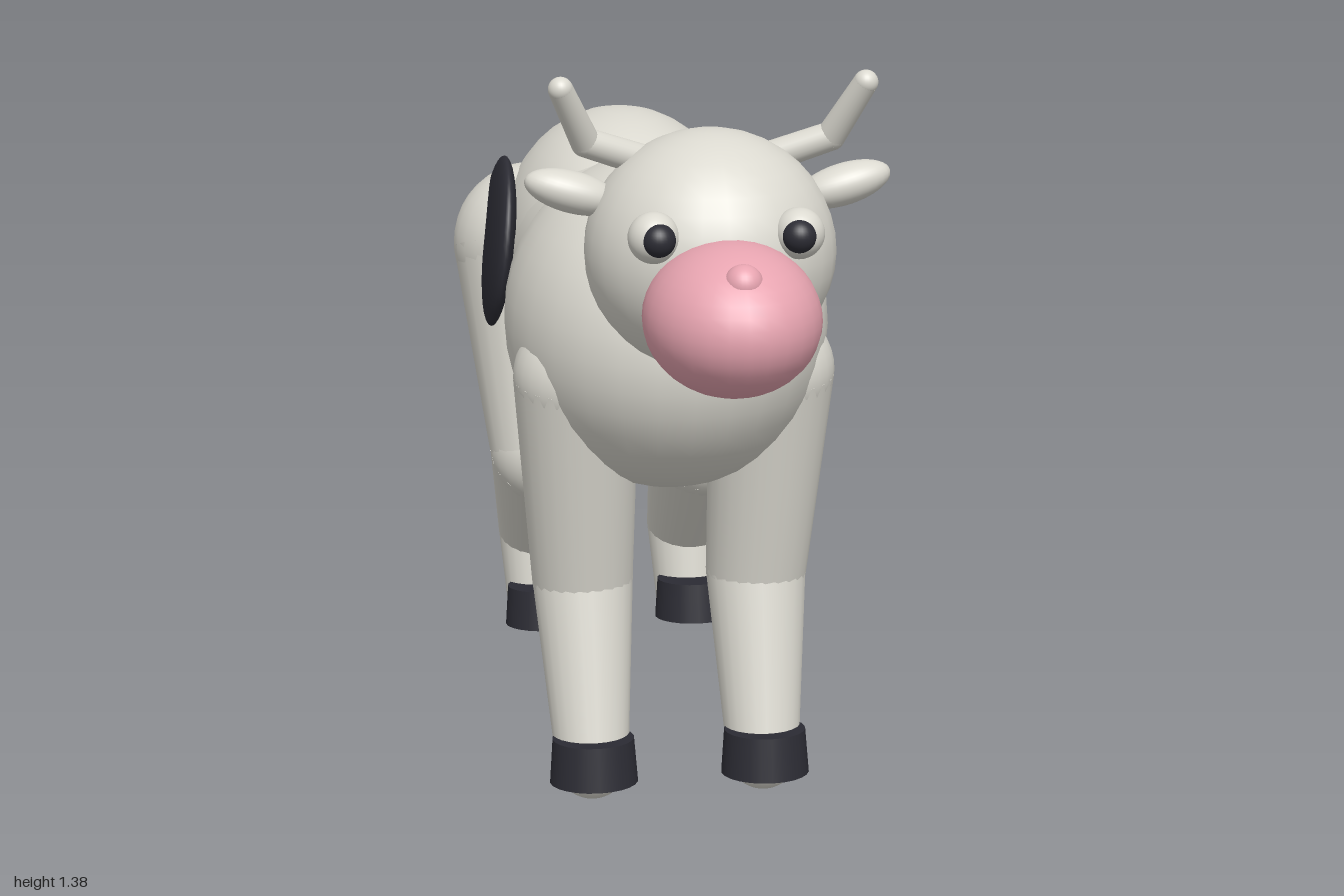
import * as THREE from 'three';

const hide = new THREE.MeshStandardMaterial({ name: 'hide', color: 0xdbd9d0 });
const pink = new THREE.MeshStandardMaterial({ name: 'pink', color: 0xe8a5b1 });
const dark = new THREE.MeshStandardMaterial({ name: 'dark', color: 0x2c2c34 });

const V = (p) => new THREE.Vector3(...p);

export function createModel() {
  const model = new THREE.Group();
  model.name = 'cow';

  function ellipsoid(name, mat, pos, radii, rot = [0, 0, 0], parent = model) {
    const m = new THREE.Mesh(new THREE.SphereGeometry(1, 28, 20), mat);
    m.name = name;
    m.position.set(...pos);
    m.scale.set(...radii);
    m.rotation.set(...rot);
    parent.add(m);
    return m;
  }
  const ball = (name, mat, pos, r, parent) => ellipsoid(name, mat, pos, [r, r, r], [0, 0, 0], parent);

  // Tapered round bar between two points
  function limb(name, mat, a, b, ra, rb, parent = model) {
    const dir = V(b).sub(V(a));
    const m = new THREE.Mesh(new THREE.CylinderGeometry(rb, ra, dir.length(), 24), mat);
    m.name = name;
    m.position.copy(V(a)).addScaledVector(dir, 0.5);
    m.quaternion.setFromUnitVectors(new THREE.Vector3(0, 1, 0), dir.normalize());
    parent.add(m);
  }

  // Chain of [point, radius] joints joined by tapered bars
  function chain(name, mat, joints, parent) {
    joints.forEach(([p, r], i) => {
      ball(name + 'Joint', mat, p, r, parent);
      if (i) limb(name + 'Segment', mat, joints[i - 1][0], p, joints[i - 1][1], r, parent);
    });
  }

  // Torso
  ellipsoid('chest', hide, [0, 0.85, 0.12], [0.29, 0.3, 0.37]);
  limb('barrel', hide, [0, 0.84, 0.1], [0, 0.84, -0.45], 0.235, 0.235);
  ellipsoid('hips', hide, [0, 0.865, -0.46], [0.24, 0.265, 0.355]);
  ellipsoid('udder', pink, [0, 0.64, -0.08], [0.145, 0.045, 0.045]);

  // Neck, head and muzzle
  limb('neck', hide, [0, 0.93, 0.25], [0, 1.05, 0.56], 0.13, 0.105);
  ellipsoid('head', hide, [0, 1.087, 0.615], [0.205, 0.198, 0.205]);
  ellipsoid('muzzle', pink, [0, 1.025, 0.83], [0.14, 0.121, 0.17]);
  ball('noseBump', pink, [0, 1.103, 0.93], 0.031);

  for (const s of [1, -1]) {
    const side = s > 0 ? 'left' : 'right';

    // Eyes, ears and horns
    ball(side + 'Eye', hide, [s * 0.115, 1.145, 0.775], 0.041);
    ball(side + 'Pupil', dark, [s * 0.111, 1.146, 0.8], 0.027);
    ellipsoid(side + 'Ear', hide, [s * 0.222, 1.185, 0.6], [0.08, 0.034, 0.04], [0, 0, s * 0.28]);
    chain(side + 'Horn', hide, [
      [[s * 0.08, 1.22, 0.57], 0.026],
      [[s * 0.2, 1.265, 0.6], 0.024],
      [[s * 0.245, 1.36, 0.65], 0.02],
    ]);

    // Legs with hooves
    const legs = [
      ['FrontLeg', 0.31, [
        [[s * 0.175, 0.78, 0.235], 0.112],
        [[s * 0.16, 0.385, 0.18], 0.092],
        [[s * 0.157, 0.066, 0.287], 0.066],
      ]],
      ['HindLeg', -0.53, [
        [[s * 0.17, 0.85, -0.54], 0.16],
        [[s * 0.16, 0.45, -0.415], 0.113],
        [[s * 0.157, 0.215, -0.632], 0.083],
        [[s * 0.157, 0.07, -0.595], 0.07],
      ]],
    ];
    for (const [label, hoofZ, joints] of legs) {
      const leg = new THREE.Group();
      leg.name = side + label;
      model.add(leg);
      chain('leg', hide, joints, leg);
      limb('hoof', dark, [s * 0.157, 0.04, hoofZ], [s * 0.157, 0.12, hoofZ - 0.008], 0.08, 0.074, leg);
    }
  }

  // Dark coat patches, partly sunk into the body
  ellipsoid('chestPatch', dark, [0.258, 0.887, 0.002], [0.02, 0.127, 0.127], [0, 0.08, 0]);
  ellipsoid('rightHipPatch', dark, [-0.25, 0.87, -0.46], [0.03, 0.17, 0.17], [0, 0, -0.12]);
  ellipsoid('leftHipPatch', dark, [0.25, 0.857, -0.537], [0.006, 0.147, 0.147]);

  // Tail
  chain('tail', hide, [
    [[0, 0.96, -0.8], 0.023],
    [[0, 0.765, -0.9], 0.02],
    [[0, 0.5, -0.937], 0.014],
  ]);
  ellipsoid('tailTuft', dark, [0, 0.447, -0.938], [0.062, 0.1, 0.062]);

  return model;
}
